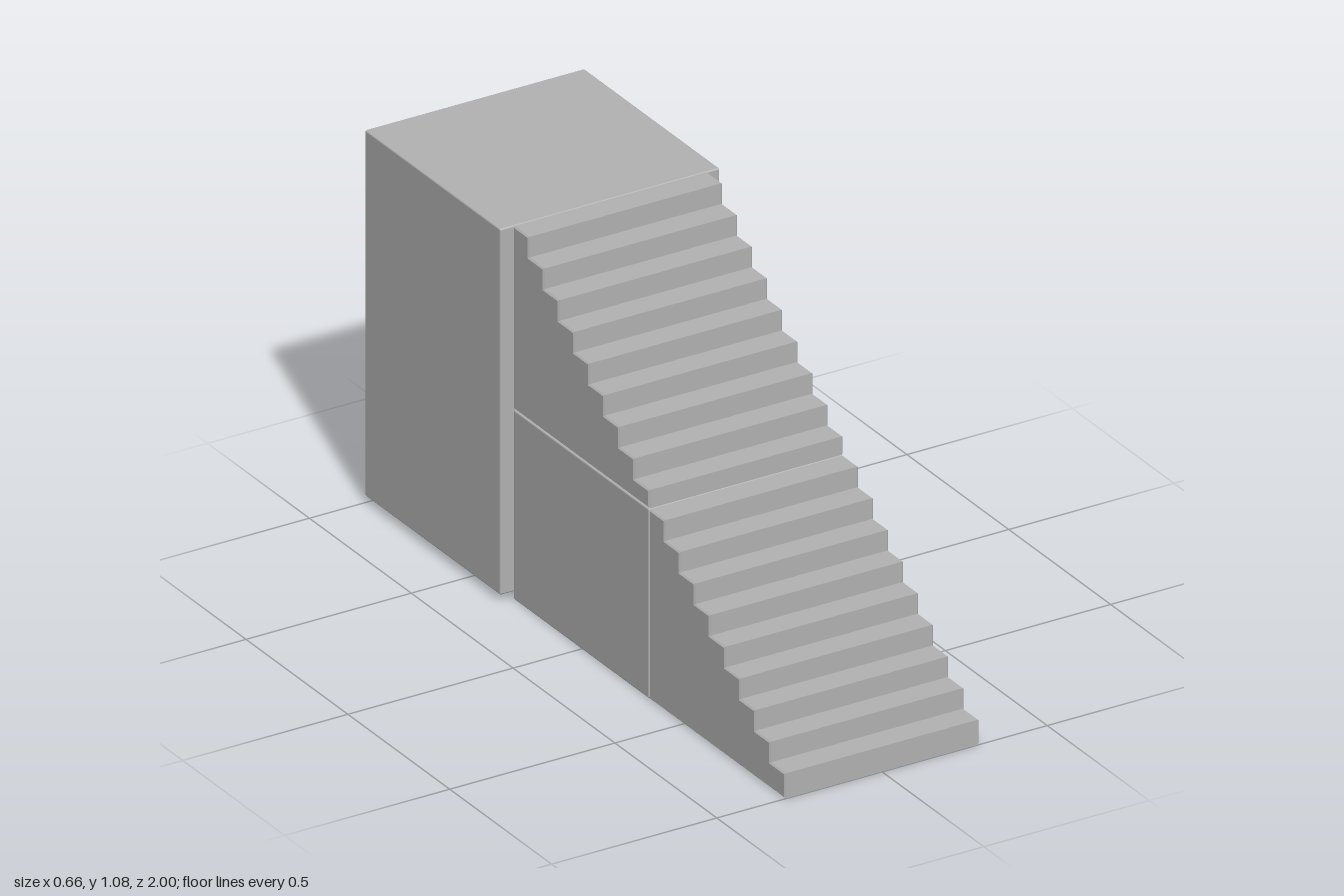
import * as THREE from 'three';
import { RoundedBoxGeometry } from 'three/addons/geometries/RoundedBoxGeometry.js';

const WIDTH = 0.588, STEPS = 9, RUN = 0.666 / STEPS, RISE = 0.0594, FIRST = 0.073, BEVEL = 0.004;

// Solid flight of steps: front edge at z = front, rising towards -z
function stairFlight(name, front, offset, base, material) {
  const shape = new THREE.Shape();
  shape.moveTo(-front, base);
  for (let i = 0; i < STEPS; i++) {
    const y = offset + FIRST + i * RISE;
    shape.lineTo(-front + i * RUN, y);
    shape.lineTo(-front + (i + 1) * RUN, y);
  }
  shape.lineTo(-front + STEPS * RUN, base);
  shape.closePath();
  const geometry = new THREE.ExtrudeGeometry(shape, {
    depth: WIDTH - 2 * BEVEL, bevelThickness: BEVEL, bevelSize: BEVEL,
    bevelOffset: -BEVEL, bevelSegments: 1,
  });
  geometry.translate(0, 0, -(WIDTH - 2 * BEVEL) / 2);
  geometry.rotateY(Math.PI / 2); // profile x becomes -z
  const mesh = new THREE.Mesh(geometry, material);
  mesh.name = name;
  return mesh;
}

// Box with slightly softened edges, given by its extents
function block(name, width, y0, y1, z0, z1, material) {
  const mesh = new THREE.Mesh(
    new RoundedBoxGeometry(width, y1 - y0, z1 - z0, 2, 0.005), material);
  mesh.position.set(0, (y0 + y1) / 2, (z0 + z1) / 2);
  mesh.name = name;
  return mesh;
}

export function createModel() {
  const grey = new THREE.MeshStandardMaterial({ color: 0xb2b2b2 });
  grey.name = 'stone grey';
  const model = new THREE.Group();
  model.name = 'staircase';
  model.add(
    stairFlight('lowerFlight', 1, 0, 0, grey),
    stairFlight('upperFlight', 0.333, 0.53, 0.55, grey),
    block('supportBlock', WIDTH, 0, 0.548, -0.333, 0.332, grey),
    block('landingTower', 0.664, 0.02, 1.078, -1, -0.335, grey),
  );
  return model;
}
